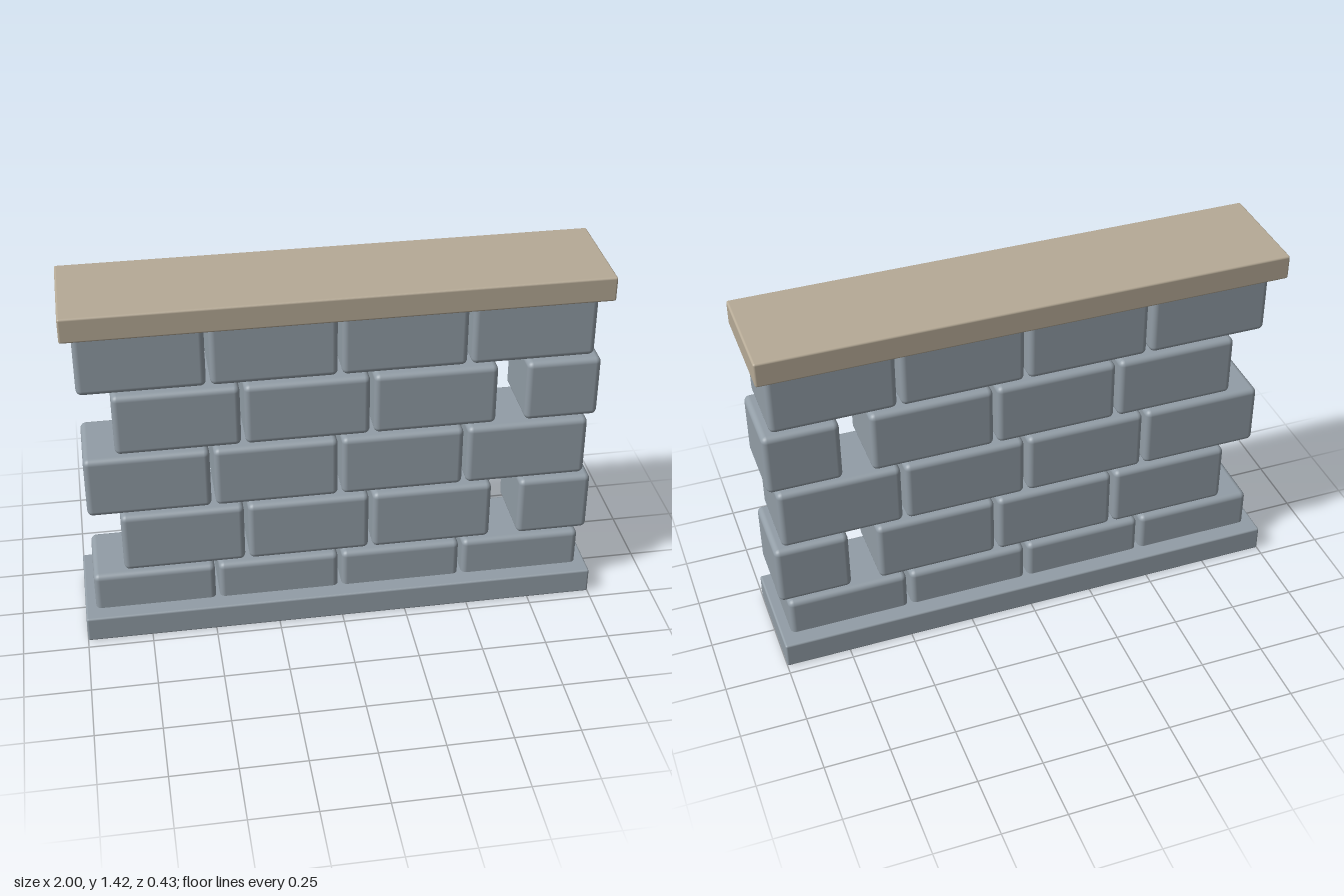
import * as THREE from 'three';
import { RoundedBoxGeometry } from 'three/addons/geometries/RoundedBoxGeometry.js';

const PITCH = 0.4833;   // brick spacing along the wall
const COURSE = 0.2645;  // course spacing
const BRICK = { width: 0.468, height: 0.249, depth: 0.295 };

export function createModel() {
  const wall = new THREE.Group();
  wall.name = 'brickWall';

  const stone = new THREE.MeshStandardMaterial({ color: 0x929da6 });
  stone.name = 'blue grey stone';
  const sandstone = new THREE.MeshStandardMaterial({ color: 0xb6aa96 });
  sandstone.name = 'tan capstone';

  function addBlock(name, parent, material, size, position, radius) {
    const mesh = new THREE.Mesh(new RoundedBoxGeometry(...size, 3, radius), material);
    mesh.name = name;
    mesh.position.set(...position);
    parent.add(mesh);
  }

  // Footing and coping slabs
  addBlock('footing', wall, stone, [2, 0.104, 0.425], [0, 0.052, 0], 0.008);
  addBlock('coping', wall, sandstone, [2, 0.096, 0.418], [0, 1.37, 0], 0.008);

  // Five courses: full rows of four, alternating with three bricks and a half brick
  for (let row = 0; row < 5; row++) {
    const course = new THREE.Group();
    course.name = `course${row + 1}`;
    course.position.y = 0.131 + row * COURSE;
    wall.add(course);

    const staggered = row % 2 === 1;
    const start = -1.5 * PITCH + (staggered ? PITCH / 4 : 0);
    for (let i = 0; i < (staggered ? 3 : 4); i++) {
      addBlock('brick', course, stone, [BRICK.width, BRICK.height, BRICK.depth],
        [start + i * PITCH, 0, 0], 0.022);
    }
    if (staggered) {
      addBlock('halfBrick', course, stone, [0.283, BRICK.height, BRICK.depth],
        [0.849, 0, 0], 0.022);
    }
  }
  return wall;
}
